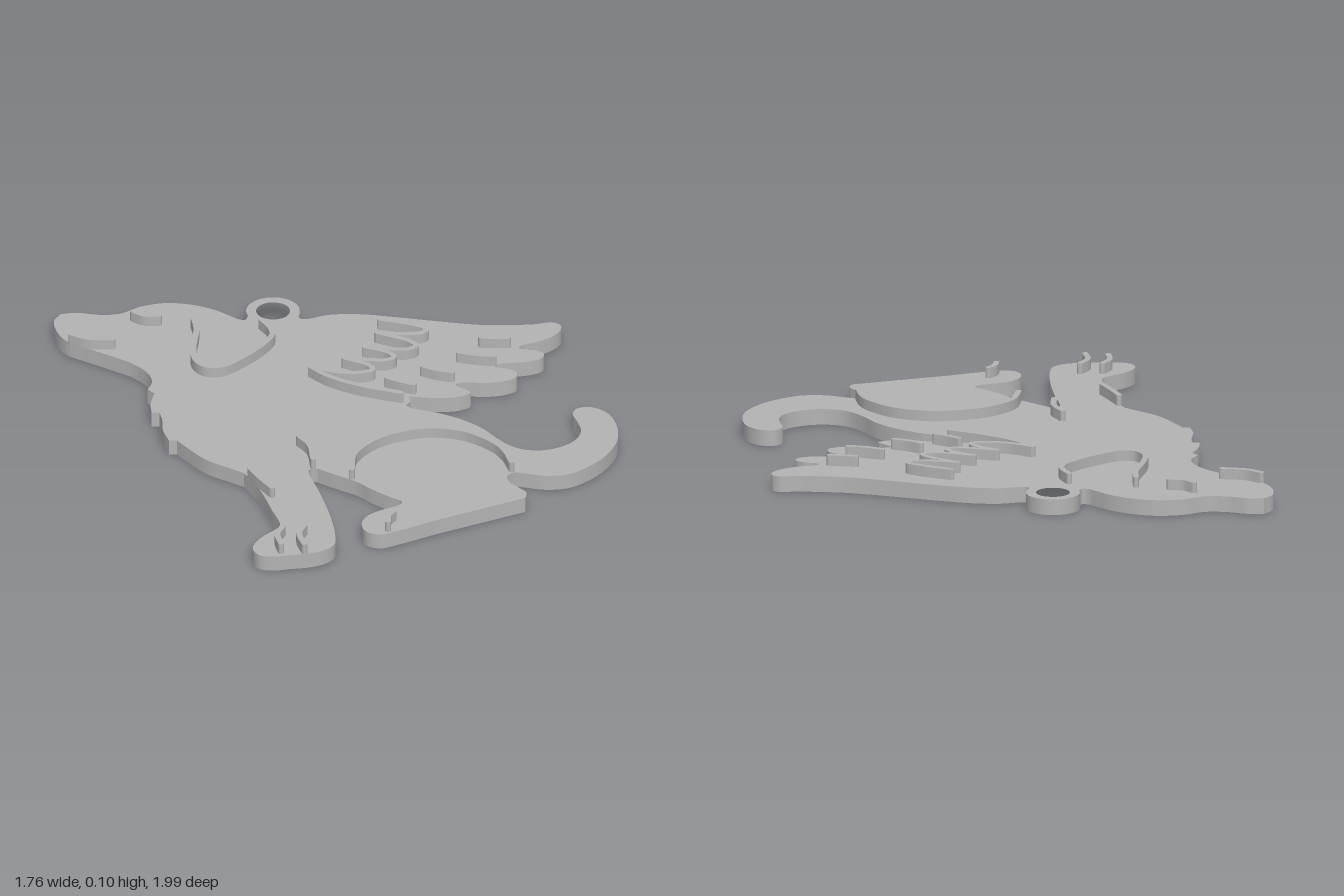
import * as THREE from 'three';

const PLATE = 0.06, TOP = 0.1, HALF_WIDTH = 0.011;

// Smooth curve through [x, z, x, z, ...], as shape points (shape y = -z)
function smooth(flat, steps = 5) {
  const pts = [];
  for (let i = 0; i < flat.length; i += 2) pts.push(new THREE.Vector3(flat[i], -flat[i + 1], 0));
  const curve = new THREE.CatmullRomCurve3(pts, false, 'centripetal');
  return curve.getPoints((pts.length - 1) * steps).map(p => new THREE.Vector2(p.x, p.y));
}

// Extrude a flat shape upward between two heights
function slab(shape, y0, y1) {
  const g = new THREE.ExtrudeGeometry(shape, { depth: y1 - y0, bevelEnabled: false, curveSegments: 32 });
  g.rotateX(-Math.PI / 2);
  g.translate(0, y0, 0);
  return g;
}

// Outline pieces, clockwise from the muzzle; each starts where the last one ends
const head = [-0.75, -1, -0.69, -0.98, -0.63, -0.935, -0.555, -0.905, -0.46, -0.918, -0.365, -0.9, -0.285, -0.847,
  -0.227, -0.778, -0.195, -0.714, -0.175, -0.672, -0.155, -0.659, -0.134, -0.68];
const loop = [];
for (let i = 0; i <= 10; i++) {
  const a = Math.PI * (1.03 - i * 0.1215);
  loop.push(-0.034 + 0.1 * Math.cos(a), -0.672 - 0.1 * Math.sin(a));
}
const wingTop = [0.03, -0.585, 0.045, -0.565, 0.137, -0.555, 0.243, -0.508, 0.348, -0.434, 0.48, -0.333,
  0.612, -0.238, 0.718, -0.185, 0.797, -0.153, 0.855, -0.14, 0.876, -0.11, 0.86, -0.074, 0.813, -0.045,
  0.744, -0.034, 0.686, -0.037, 0.66, -0.026];
const feathers = [0.675, -0.005, 0.707, 0.016, 0.728, 0.053, 0.707, 0.079, 0.654, 0.082, 0.586, 0.063,
  0.533, 0.048, 0.522, 0.063, 0.554, 0.09, 0.575, 0.127, 0.56, 0.164, 0.507, 0.172, 0.427, 0.148, 0.364, 0.111,
  0.332, 0.116, 0.348, 0.159, 0.359, 0.19, 0.306, 0.2, 0.232, 0.175, 0.164, 0.132, 0.137, 0.116, 0.133, 0.143,
  0.1, 0.17];
const backAndTail = [0.11, 0.196, 0.18, 0.27, 0.243, 0.36, 0.28, 0.45, 0.3, 0.556, 0.332, 0.635, 0.39, 0.683,
  0.464, 0.698, 0.549, 0.677, 0.6, 0.624, 0.617, 0.556, 0.628, 0.497, 0.665, 0.47, 0.712, 0.487, 0.744, 0.545,
  0.739, 0.635, 0.69, 0.746, 0.6, 0.83, 0.496, 0.878, 0.41, 0.89, 0.332, 0.862, 0.28, 0.82, 0.243, 0.788];
const rump = [0.21, 0.8, 0.195, 0.847, 0.21, 0.905, 0.217, 0.942, 0.195, 0.976];
const base = [-0.18, 0.977];
const hindFoot = [-0.338, 0.984, -0.406, 0.979, -0.443, 0.937, -0.433, 0.878, -0.39, 0.836, -0.327, 0.82,
  -0.248, 0.815, -0.227, 0.8, -0.26, 0.73, -0.29, 0.66, -0.31, 0.598, -0.36, 0.513, -0.4, 0.44];
const frontLeg = [-0.417, 0.43, -0.438, 0.444, -0.47, 0.598, -0.51, 0.767, -0.554, 0.9, -0.59, 0.968, -0.64, 0.99,
  -0.707, 0.987, -0.77, 0.968, -0.84, 0.947, -0.876, 0.915, -0.876, 0.862, -0.823, 0.81, -0.75, 0.778,
  -0.712, 0.757, -0.686, 0.635, -0.66, 0.476, -0.66, 0.35];
const chest = [-0.69, 0.296, -0.74, 0.206, -0.765, 0.095, -0.776, 0.024];
const tufts = [
  [-0.803, 0.014], [-0.79, -0.063, -0.755, -0.143, -0.744, -0.188],
  [-0.77, -0.2], [-0.744, -0.26, -0.697, -0.323], [-0.707, -0.36],
];
const throat = [-0.67, -0.4, -0.654, -0.46, -0.67, -0.545, -0.723, -0.645, -0.78, -0.74, -0.818, -0.81,
  -0.823, -0.873, -0.797, -0.963, -0.75, -1];

function bodyShape() {
  const outline = smooth(head);
  for (const piece of [loop, wingTop, feathers, backAndTail, rump, base, hindFoot, frontLeg, chest, ...tufts, throat]) {
    const end = outline[outline.length - 1];
    outline.push(...smooth([end.x, -end.y, ...piece]).slice(1));
  }
  outline.pop();
  const shape = new THREE.Shape(outline);
  shape.holes.push(new THREE.Path().absarc(-0.034, 0.672, 0.063, 0, Math.PI * 2, true));
  return shape;
}

// Ribbon of constant width with round ends along a smooth line
function strokeShape(flat) {
  const pts = smooth(flat, 6), n = pts.length - 1;
  const angles = pts.map((p, i) => {
    const a = pts[Math.max(i - 1, 0)], b = pts[Math.min(i + 1, n)];
    return Math.atan2(b.y - a.y, b.x - a.x);
  });
  const at = (i, turn) => new THREE.Vector2(
    pts[i].x + HALF_WIDTH * Math.cos(angles[i] + turn), pts[i].y + HALF_WIDTH * Math.sin(angles[i] + turn));
  const out = [];
  for (let i = 0; i <= n; i++) out.push(at(i, -Math.PI / 2));
  for (let k = 1; k < 6; k++) out.push(at(n, -Math.PI / 2 + k * Math.PI / 6));
  for (let i = n; i >= 0; i--) out.push(at(i, Math.PI / 2));
  for (let k = 1; k < 6; k++) out.push(at(0, Math.PI / 2 + k * Math.PI / 6));
  return new THREE.Shape(out);
}

// Raised lines drawn on the plate
const ridges = {
  mouth: [[-0.81, -0.79, -0.77, -0.735, -0.69, -0.69]],
  eye: [[-0.53, -0.84, -0.505, -0.795, -0.458, -0.77]],
  ear: [[-0.35, -0.7, -0.377, -0.62, -0.443, -0.51, -0.48, -0.42, -0.468, -0.36, -0.415, -0.333, -0.31, -0.36,
    -0.205, -0.41, -0.142, -0.46, -0.127, -0.51, -0.13, -0.575]],
  wingEdge: [[0.095, 0.135, -0.02, 0.016, -0.09, -0.09, -0.12, -0.18]],
  wingScallop: [
    [-0.12, -0.18, -0.05, -0.105, 0.03, -0.063, 0.075, -0.062, 0.08, -0.095, 0.02, -0.185],
    [0.02, -0.185, 0.085, -0.14, 0.15, -0.105, 0.188, -0.11, 0.185, -0.15, 0.125, -0.225],
    [0.125, -0.225, 0.2, -0.17, 0.26, -0.14, 0.3, -0.15, 0.29, -0.195, 0.212, -0.298],
    [0.212, -0.298, 0.3, -0.245, 0.365, -0.225, 0.388, -0.245, 0.35, -0.3, 0.264, -0.382],
  ],
  feather: [
    [0.1, 0.015, 0.13, 0.06, 0.165, 0.1], [0.255, -0.002, 0.29, 0.045, 0.333, 0.083],
    [0.42, -0.035, 0.47, 0.01, 0.525, 0.045], [0.543, -0.097, 0.58, -0.075, 0.63, -0.05],
  ],
  foreleg: [[-0.385, 0.255, -0.378, 0.33, -0.41, 0.425], [-0.652, 0.39, -0.65, 0.46, -0.642, 0.55]],
  haunch: [[-0.317, 0.56, -0.26, 0.465, -0.155, 0.403, -0.035, 0.388, 0.085, 0.415, 0.19, 0.5, 0.245, 0.62,
    0.252, 0.69, 0.238, 0.775]],
  toe: [
    [-0.735, 0.825, -0.775, 0.865, -0.795, 0.935], [-0.655, 0.85, -0.7, 0.895, -0.718, 0.975],
    [-0.315, 0.905, -0.345, 0.925, -0.367, 0.965],
  ],
};

export function createModel() {
  const model = new THREE.Group();
  model.name = 'wingedDogPendant';
  const grey = new THREE.MeshStandardMaterial({ color: 0xb3b3b3 });
  grey.name = 'grey';

  // Flat silhouette with the hanging loop
  const plate = new THREE.Mesh(slab(bodyShape(), 0, PLATE), grey);
  plate.name = 'bodyPlate';
  model.add(plate);

  // Raised detail lines
  for (const [name, lines] of Object.entries(ridges)) {
    const group = new THREE.Group();
    group.name = name + 'Ridges';
    lines.forEach((line, i) => {
      const mesh = new THREE.Mesh(slab(strokeShape(line), PLATE, TOP), grey);
      mesh.name = name + 'Ridge' + (i + 1);
      group.add(mesh);
    });
    model.add(group);
  }
  return model;
}
